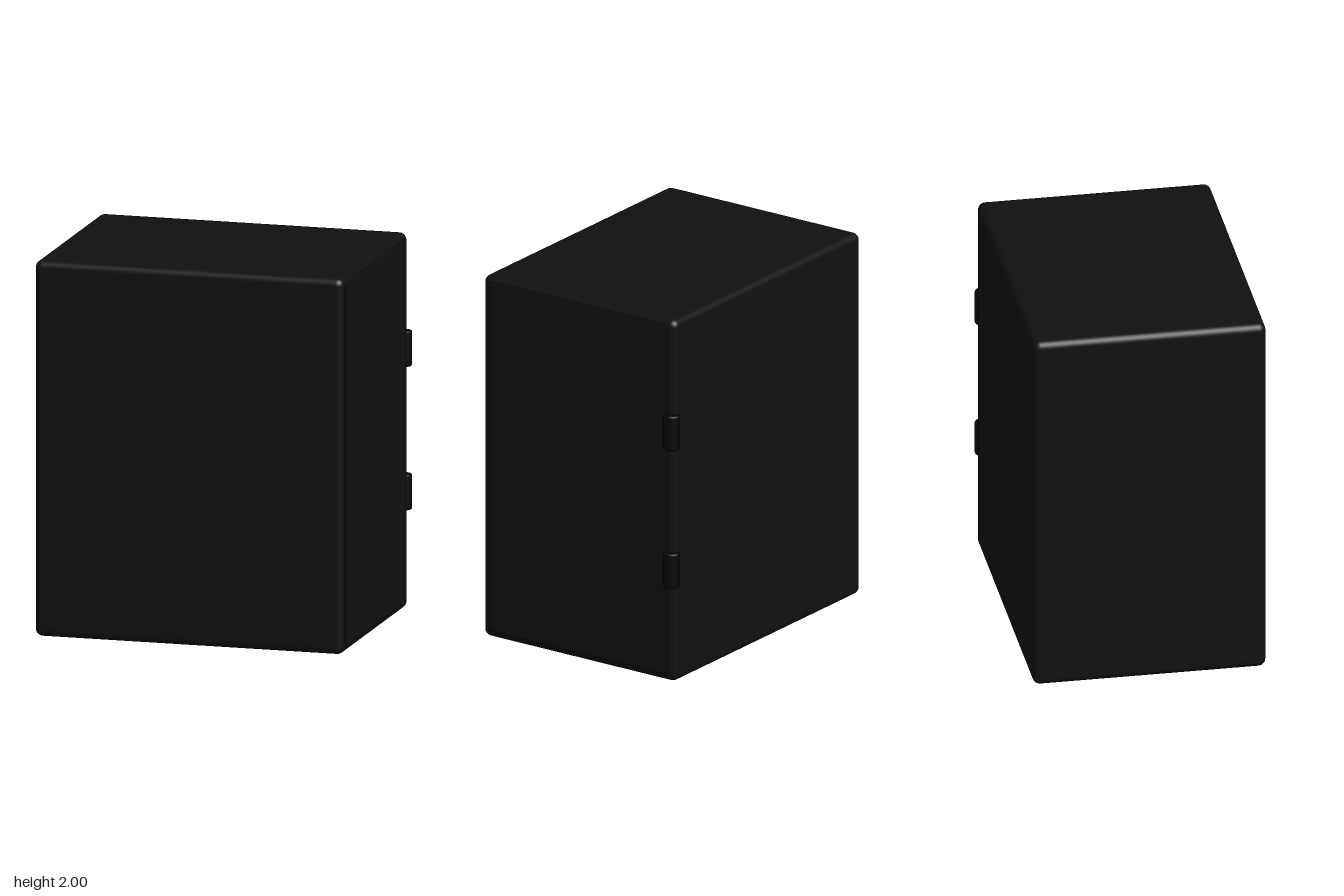
import * as THREE from 'three';
import { RoundedBoxGeometry } from 'three/addons/geometries/RoundedBoxGeometry.js';

const shellMat = new THREE.MeshStandardMaterial({ color: 0x101010 });
const hingeMat = new THREE.MeshStandardMaterial({ color: 0x080808 });

function add(parent, name, geometry, material, x, y, z) {
  const mesh = new THREE.Mesh(geometry, material);
  mesh.name = name;
  mesh.position.set(x, y, z);
  parent.add(mesh);
  return mesh;
}

// Cylinder with softened rims, standing on its own centre
function softCylinder(radius, height, bevel) {
  const h = height / 2, pts = [new THREE.Vector2(0, -h)];
  for (let i = 0; i <= 4; i++) {
    const a = (i / 4) * Math.PI / 2;
    pts.push(new THREE.Vector2(radius - bevel + bevel * Math.sin(a), -h + bevel - bevel * Math.cos(a)));
  }
  for (let i = 0; i <= 4; i++) {
    const a = (i / 4) * Math.PI / 2;
    pts.push(new THREE.Vector2(radius - bevel + bevel * Math.cos(a), h - bevel + bevel * Math.sin(a)));
  }
  pts.push(new THREE.Vector2(0, h));
  return new THREE.LatheGeometry(pts, 32);
}

export function createModel() {
  const group = new THREE.Group();
  group.name = 'cabinet';

  // Cabinet body with rounded edges
  add(group, 'body', new RoundedBoxGeometry(1.67, 2, 1.23, 5, 0.04), shellMat, -0.015, 1, 0.005);

  // Door on the left side, standing slightly proud of the body
  add(group, 'door', new RoundedBoxGeometry(0.04, 1.93, 1.13, 3, 0.006), shellMat, 0.808, 1.005, 0.01);

  // Barrel hinges on the rear edge of the door
  for (const [name, y] of [['lowerHinge', 0.622], ['upperHinge', 1.385]]) {
    add(group, name, softCylinder(0.043, 0.19, 0.01), hingeMat, 0.805, y, -0.58);
  }

  return group;
}
